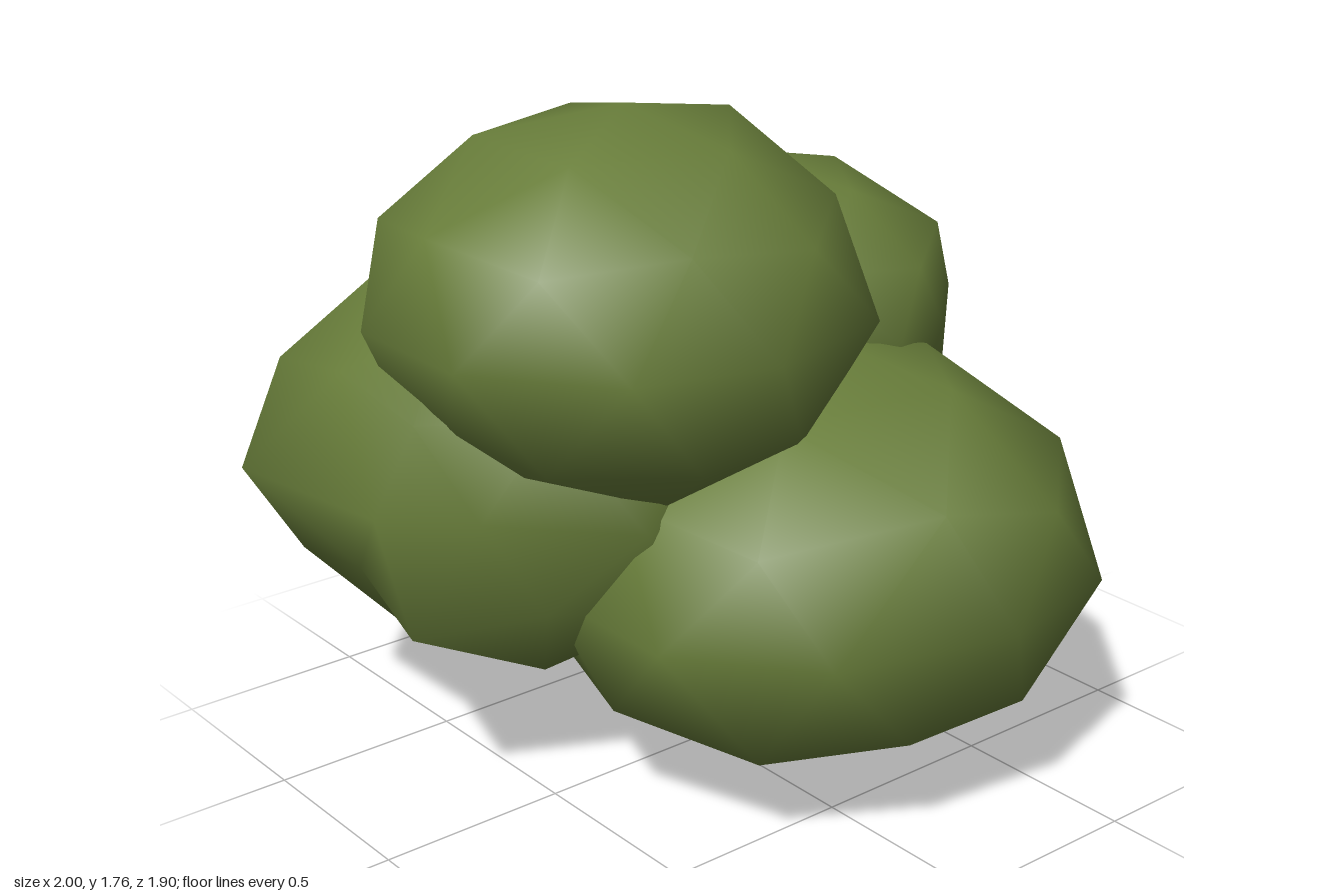
import * as THREE from 'three';
import { mergeVertices } from 'three/addons/utils/BufferGeometryUtils.js';

const leafGreen = new THREE.MeshStandardMaterial({ color: 0x687d3a });
leafGreen.name = 'leafGreen';

// Low-poly smooth blob standing on an icosahedron corner, stretched per axis.
// Each bump pulls the nearest corner to that point, for an irregular outline.
function clump(name, centre, radii, turn, bumps) {
  const ball = new THREE.IcosahedronGeometry(1, 1);
  ball.deleteAttribute('uv');
  ball.deleteAttribute('normal');
  const geometry = mergeVertices(ball);
  geometry.rotateZ(-Math.atan(2 / (1 + Math.sqrt(5)))); // corner points straight up
  geometry.rotateY(turn);
  geometry.scale(...radii);
  geometry.translate(...centre);

  const corners = geometry.attributes.position;
  const corner = new THREE.Vector3();
  for (const bump of bumps) {
    const target = new THREE.Vector3(...bump);
    let nearest = 0;
    let best = Infinity;
    for (let i = 0; i < corners.count; i++) {
      const distance = corner.fromBufferAttribute(corners, i).distanceTo(target);
      if (distance < best) {
        best = distance;
        nearest = i;
      }
    }
    corners.setXYZ(nearest, ...bump);
  }
  geometry.computeVertexNormals();

  const mesh = new THREE.Mesh(geometry, leafGreen);
  mesh.name = name;
  return mesh;
}

export function createModel() {
  const group = new THREE.Group();
  group.name = 'foliage';
  group.add(
    clump('topClump', [-0.27, 1.27, -0.02], [0.63, 0.49, 0.62], 0, [
      [-0.25, 1.76, 0], [0.09, 1.7, -0.02], [0.315, 1.49, -0.06], // crown and left side
      [-0.76, 1.05, -0.02], [-0.61, 0.9, -0.02], [-0.45, 1.03, 0.54], // underside
      [0.27, 1.27, -0.21], [0.07, 1.27, -0.5], [0.12, 1.27, 0.5], [-0.62, 1.27, 0.5], // waist
    ]),
    clump('leftBackClump', [0.43, 1.04, -0.315], [0.59, 0.43, 0.565], -0.03, [
      [0.41, 1.47, -0.28], [0.71, 1.41, -0.31], // crown
      [0.41, 1.04, -0.88], [0.74, 1.04, -0.74], [1, 1.02, -0.48], [0.97, 1.04, -0.11],
      [0.71, 1.04, 0.13], [0.44, 1.07, 0.25], // waist
      [0.91, 0.77, -0.32], [0.43, 0.61, -0.4], // underside
    ]),
    clump('rightBackClump', [-0.37, 0.82, -0.31], [0.68, 0.54, 0.65], -0.12, [
      [-0.84, 1.12, -0.37], [-0.48, 1.12, -0.89], [-0.82, 1.06, -0.08], // shoulders
      [-0.9, 0.82, -0.15], [-1, 0.84, -0.6], [-0.68, 0.84, -0.93],
      [-0.27, 0.83, -0.95], [0.09, 0.82, -0.86], [-0.72, 0.82, 0.04], // waist
      [-0.82, 0.6, -0.36], [-0.6, 0.58, 0.13], [-0.65, 0.35, -0.34],
      [-0.43, 0.42, -0.66], [-0.35, 0.28, -0.33], // underside
    ]),
    clump('frontClump', [0.19, 0.56, 0.205], [0.73, 0.56, 0.745], 0, [
      [0.23, 1.12, 0.25], [0.31, 1.07, 0.56], // crown
      [0.81, 0.85, 0.2], [0, 0.92, 0.86], [0.39, 0.82, 0.85], // shoulders
      [0.78, 0.6, 0.38], [0.88, 0.6, 0], [0.17, 0.6, 0.95], [-0.26, 0.57, 0.78], // waist
      [0.73, 0.32, 0.2], [-0.01, 0.3, 0.78], [0.38, 0.29, 0.78], // lower flanks
      [-0.17, 0.15, 0.2], [0.08, 0.14, 0.52], [0.46, 0.13, 0.41], [0.17, 0, 0.19], // underside
    ]),
  );
  return group;
}
